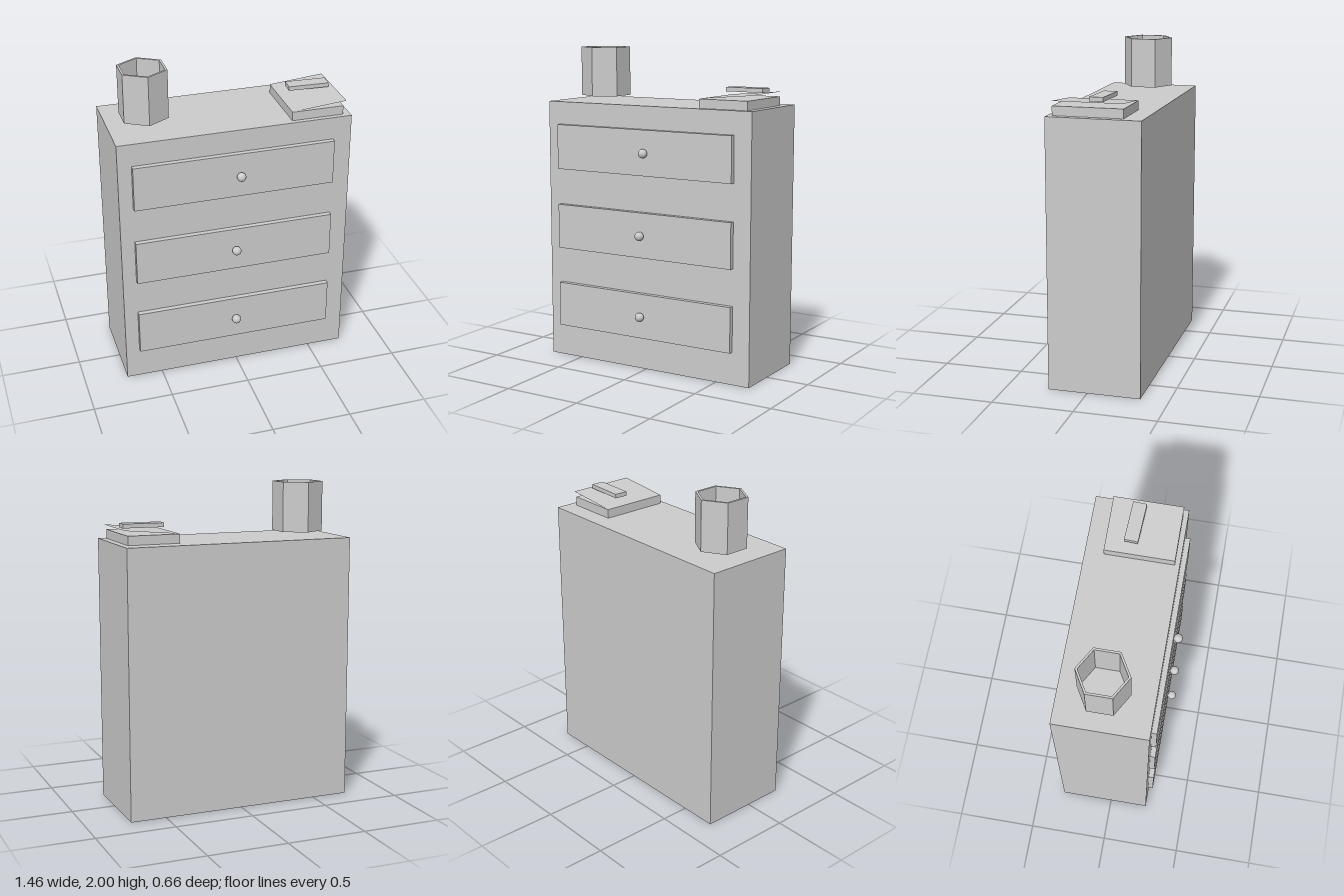
import * as THREE from 'three';

export function createModel() {
  const model = new THREE.Group();
  const flat = new THREE.MeshStandardMaterial({ color: 0xcccccc, flatShading: true });
  const smooth = new THREE.MeshStandardMaterial({ color: 0xcccccc });
  const thin = new THREE.MeshStandardMaterial({ color: 0xcccccc, side: THREE.DoubleSide });

  const add = (name, geometry, material, x, y, z) => {
    const mesh = new THREE.Mesh(geometry, material);
    mesh.name = name;
    mesh.position.set(x, y, z);
    model.add(mesh);
    return mesh;
  };
  // Box given by its extents on each axis
  const box = (name, [x0, x1], [y0, y1], [z0, z1]) =>
    add(name, new THREE.BoxGeometry(x1 - x0, y1 - y0, z1 - z0), flat,
      (x0 + x1) / 2, (y0 + y1) / 2, (z0 + z1) / 2);

  // Cabinet
  box('cabinet', [-0.73, 0.725], [0, 1.66], [-0.328, 0.243]);

  // Drawer fronts, each with a round knob
  [[0.347, -0.016], [0.861, -0.016], [1.375, 0.011]].forEach(([y, knobX]) => {
    box('drawerFront', [-0.645, 0.61], [y - 0.142, y + 0.142], [0.235, 0.275]);
    add('drawerKnob', new THREE.SphereGeometry(0.028, 24, 16), smooth, knobX, y, 0.3);
  });

  // Hollow hexagonal pot: outside, rim, inside and floor in one profile
  const potProfile = [[0, 0], [0.157, 0], [0.157, 0.31], [0.142, 0.31], [0.142, 0.02], [0, 0.02]]
    .map(([r, y]) => new THREE.Vector2(r, y));
  add('pot', new THREE.LatheGeometry(potProfile, 6), flat, -0.495, 1.69, -0.058);

  // Book block with a slightly lifted thin cover, hinged along its -x edge
  box('bookPages', [0.355, 0.68], [1.66, 1.716], [-0.213, 0.213]);
  const rise = 0.03, run = 0.343;
  const cover = new THREE.PlaneGeometry(Math.hypot(run, rise), 0.426).rotateX(-Math.PI / 2);
  add('bookCover', cover, thin, 0.355 + run / 2, 1.717 + rise / 2, 0).rotation.z = Math.atan2(rise, run);

  // Small bar lying over the cover, turned a little
  add('bar', new THREE.BoxGeometry(0.254, 0.026, 0.084), flat, 0.541, 1.762, -0.054).rotation.y = -0.047;

  return model;
}
